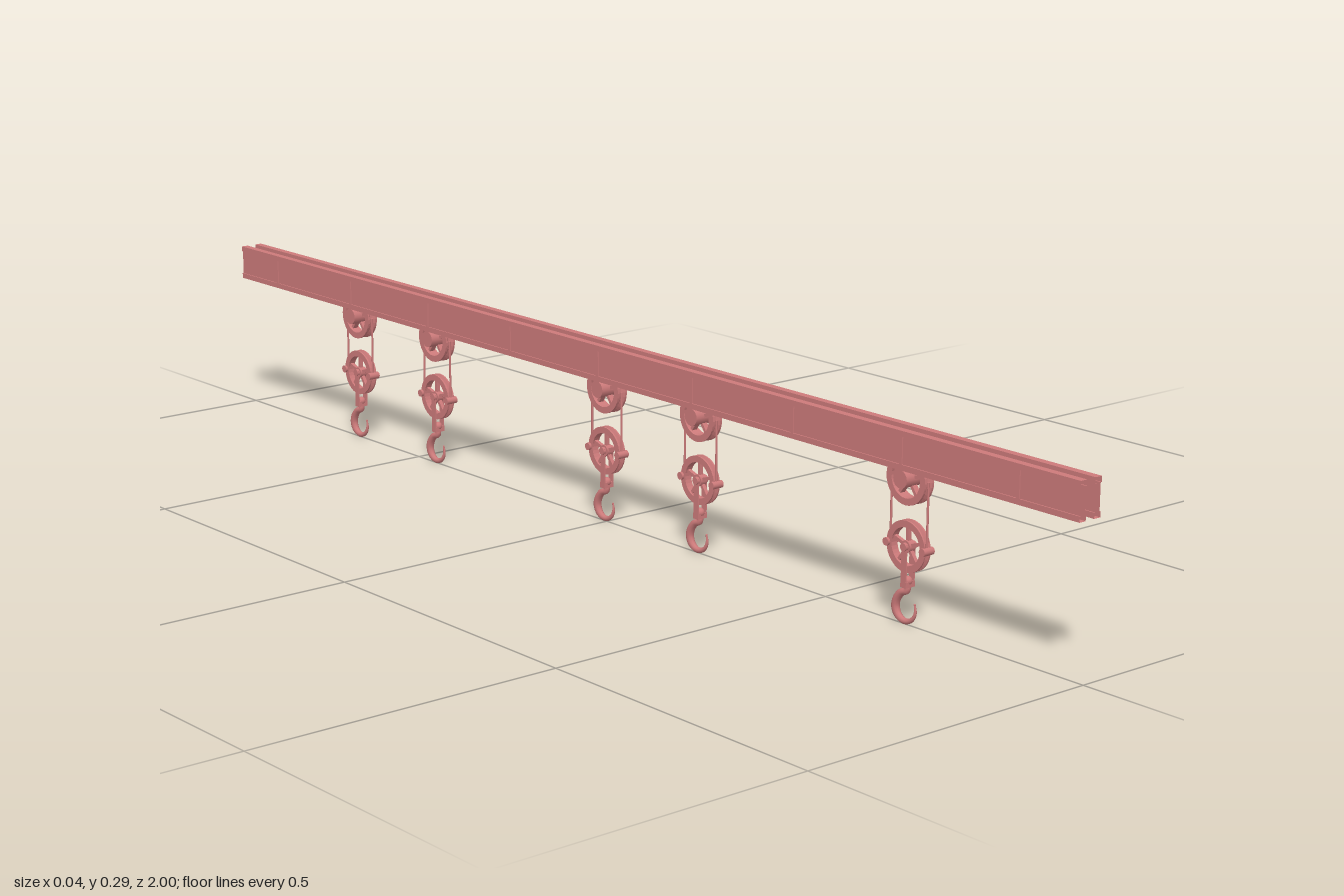
import * as THREE from 'three';

const material = new THREE.MeshStandardMaterial({ color: 0xcc7a7a, side: THREE.DoubleSide });
const BAY = 2 / 9; // distance between stiffeners

function add(parent, name, geometry, x = 0, y = 0, z = 0) {
  const mesh = new THREE.Mesh(geometry, material);
  mesh.name = name;
  mesh.position.set(x, y, z);
  parent.add(mesh);
  return mesh;
}

// Cylinder lying along x
const rod = (radius, length, sides = 16) =>
  new THREE.CylinderGeometry(radius, radius, length, sides).rotateZ(Math.PI / 2);

// Thick-webbed I profile, swept along z and left open at its ends
function beamGeometry() {
  const f = 0.006, w = 0.004, h = 0.0285, k = 0.02;
  const half = [[f, -h], [f, -k], [w, -k], [w, k], [f, k], [f, h]];
  const points = [...half, ...half.map(([x, y]) => [-x, -y])].map(p => new THREE.Vector2(...p));
  const solid = new THREE.ExtrudeGeometry(new THREE.Shape(points), { depth: 2, bevelEnabled: false });
  const { start, count } = solid.groups[1];
  const open = new THREE.BufferGeometry();
  open.setAttribute('position', new THREE.BufferAttribute(
    solid.attributes.position.array.slice(start * 3, (start + count) * 3), 3));
  open.computeVertexNormals();
  return open.translate(0, 0, -1);
}

// Grooved wheel with five spokes, axle along x
function pulley(name, halfWidth) {
  const group = new THREE.Group();
  group.name = name;
  const w = halfWidth;
  const rim = [[0.028, -w], [0.038, -w], [0.038, -w * 0.6], [0.033, -w * 0.15], [0.033, w * 0.15],
    [0.038, w * 0.6], [0.038, w], [0.028, w], [0.028, -w]].map(p => new THREE.Vector2(...p));
  const rimGeometry = new THREE.LatheGeometry(rim, 32).rotateZ(Math.PI / 2).toNonIndexed();
  rimGeometry.computeVertexNormals();
  add(group, 'rim', rimGeometry);
  add(group, 'hub', rod(0.009, w * 2));
  for (let i = 0; i < 5; i++) {
    const spoke = new THREE.BoxGeometry(w, 0.024, 0.005).translate(0, 0.018, 0);
    add(group, 'spoke', spoke.rotateX(i * Math.PI * 2 / 5));
  }
  return group;
}

// Round hook bar tapering to its tip, opening toward +z
function hookGeometry() {
  const points = [[0, 0.062], [0, 0.053], [-0.012, 0.047]];
  for (let i = 0; i <= 7; i++) {
    const a = 0.5 - i * 0.58;
    points.push([-0.003 - 0.02 * Math.cos(a), 0.0265 + 0.02 * Math.sin(a)]);
  }
  const curve = new THREE.CatmullRomCurve3(points.map(([z, y]) => new THREE.Vector3(0, y, z)));
  const rings = 36, sides = 10;
  const geometry = new THREE.TubeGeometry(curve, rings, 0.006, sides);
  const position = geometry.attributes.position, v = new THREE.Vector3();
  for (let i = 0; i < position.count; i++) {
    const t = Math.floor(i / (sides + 1)) / rings;
    const centre = curve.getPointAt(t);
    const scale = t < 0.7 ? 0.7 + 0.35 * Math.sin(t / 0.7 * Math.PI) : 0.7 - (t - 0.7) * 1.6;
    v.fromBufferAttribute(position, i).sub(centre).multiplyScalar(scale).add(centre);
    position.setXYZ(i, v.x, v.y, v.z);
  }
  geometry.computeVertexNormals();
  return geometry;
}

function hoist() {
  const group = new THREE.Group();
  group.name = 'hoist';
  const upper = pulley('upperPulley', 0.009);
  upper.position.y = 0.217;
  const lower = pulley('lowerPulley', 0.006);
  lower.position.y = 0.118;
  group.add(upper, lower);
  add(group, 'upperAxle', rod(0.0135, 0.04), 0, 0.2185);
  add(group, 'lowerAxle', rod(0.006, 0.022), 0, 0.118);

  // Rope runs and their end fittings
  for (const side of [-1, 1]) {
    add(group, 'rope', new THREE.CylinderGeometry(0.0017, 0.0017, 0.1, 8), 0, 0.168, side * 0.036);
    add(group, 'ropeFitting', rod(0.006, 0.02, 12), 0, 0.118, side * 0.036);
    add(group, 'hookBracket', new THREE.BoxGeometry(0.002, 0.064, 0.01), side * 0.008, 0.09);
  }
  add(group, 'bracketBase', new THREE.BoxGeometry(0.018, 0.009, 0.011), 0, 0.0625);
  add(group, 'hookSwivel', new THREE.SphereGeometry(0.007, 14, 10), 0, 0.067);
  add(group, 'hook', hookGeometry());
  add(group, 'hookTip', new THREE.SphereGeometry(0.0016, 10, 8), 0, 0.0265 + 0.02 * Math.sin(-3.56), -0.003 - 0.02 * Math.cos(-3.56));
  return group;
}

export function createModel() {
  const model = new THREE.Group();
  model.name = 'overheadHoistRail';

  // Twin beams with stiffeners on both faces of each web
  const beam = beamGeometry();
  const stiffener = new THREE.BoxGeometry(0.002, 0.04, 0.005);
  for (const side of [-1, 1]) {
    const x = side * 0.0142;
    add(model, 'beam', beam, x, 0.26);
    for (let i = -4; i <= 4; i++) {
      for (const face of [-1, 1]) add(model, 'stiffener', stiffener, x + face * 0.005, 0.26, i * BAY);
    }
  }

  // Hoists hang below some of the stiffeners
  for (const i of [3, 1, 0, -2, -3]) {
    const unit = hoist();
    unit.position.z = i * BAY;
    model.add(unit);
  }
  return model;
}
